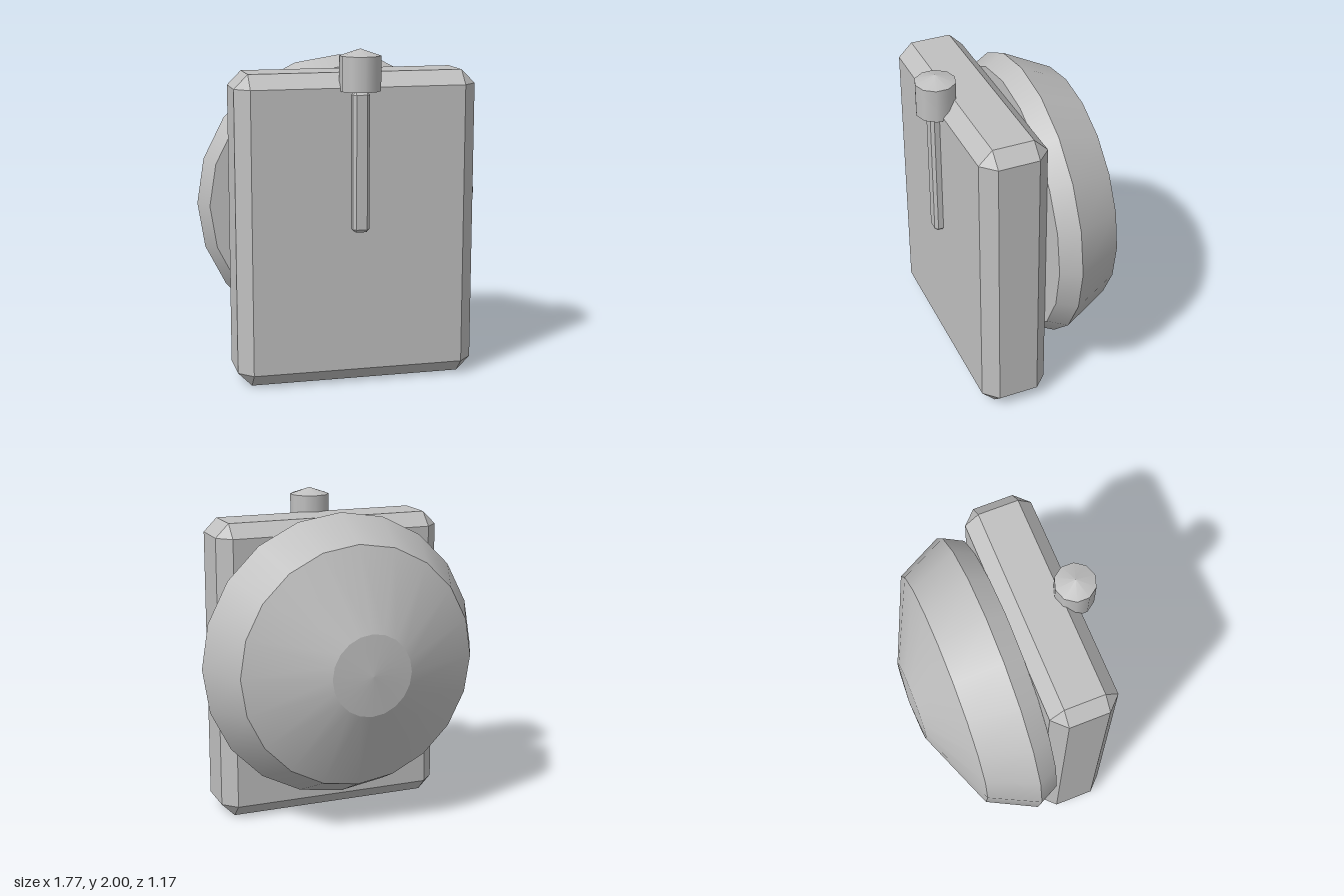
import * as THREE from 'three';
import { ConvexGeometry } from 'three/addons/geometries/ConvexGeometry.js';

const grey = new THREE.MeshStandardMaterial({ color: 0xc0c0c0 });
grey.name = 'grey';

function addMesh(parent, name, geometry) {
  const mesh = new THREE.Mesh(geometry, grey);
  mesh.name = name;
  parent.add(mesh);
  return mesh;
}

// Box with every edge cut at 45 degrees and triangular corners
function chamferedBox(w, h, d, c) {
  const points = [];
  for (const sx of [-1, 1]) for (const sy of [-1, 1]) for (const sz of [-1, 1]) {
    for (let axis = 0; axis < 3; axis++) {
      const p = [w / 2 - c, h / 2 - c, d / 2 - c];
      p[axis] += c;
      points.push(new THREE.Vector3(sx * p[0], sy * p[1], sz * p[2]));
    }
  }
  return new ConvexGeometry(points);
}

// Turned part: one band per profile step, so the rings stay sharp
function turned(name, profile, sides) {
  const group = new THREE.Group();
  group.name = name;
  for (let i = 0; i < profile.length - 1; i++) {
    const pair = [profile[i], profile[i + 1]].map(([r, y]) => new THREE.Vector2(r, y));
    addMesh(group, name + 'Band' + (i + 1), new THREE.LatheGeometry(pair, sides));
  }
  return group;
}

export function createModel() {
  const model = new THREE.Group();
  model.name = 'model';

  // Upright slab
  addMesh(model, 'slab', chamferedBox(1.444, 1.858, 0.413, 0.083)).position.set(0, 0.929, 0.258);

  // Round dome behind the slab, its axis along z
  const dome = turned('dome', [
    [0, -0.585], [0.25, -0.566], [0.74, -0.36], [0.885, -0.07], [0.825, 0.05], [0, 0.05],
  ], 20);
  dome.rotation.x = Math.PI / 2;
  dome.position.y = 1.034;
  model.add(dome);

  // Rod half sunk into the front face
  addMesh(model, 'rod', chamferedBox(0.1, 0.826, 0.1, 0.018)).position.set(0, 1.342, 0.465);

  // Knob with a shallow conical top
  const knob = turned('knob', [[0, 1.757], [0.121, 1.757], [0.121, 1.96], [0, 2]], 10);
  knob.position.z = 0.465;
  model.add(knob);

  return model;
}
